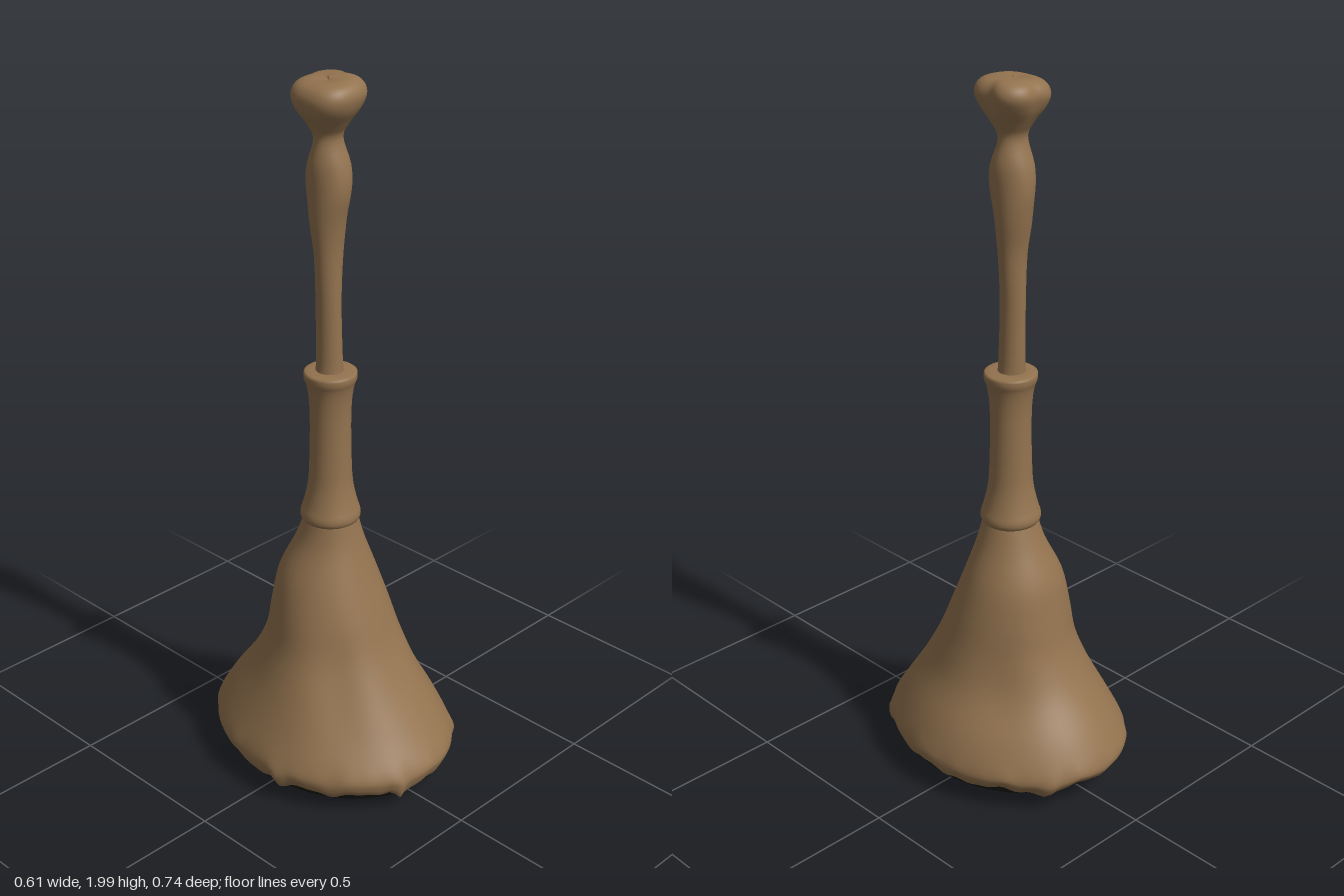
import * as THREE from 'three';

// Catmull-Rom step between rows b and c, applied to every number in a row
function blend(a, b, c, d, t) {
  return b.map((v, i) => v + 0.5 * t * (c[i] - a[i]
    + t * (2 * a[i] - 5 * v + 4 * c[i] - d[i] + t * (3 * (v - c[i]) + d[i] - a[i]))));
}

function refine(rows, steps) {
  const out = [];
  for (let i = 0; i < rows.length - 1; i++) {
    const a = rows[Math.max(i - 1, 0)], d = rows[Math.min(i + 2, rows.length - 1)];
    for (let s = 0; s < steps; s++) out.push(blend(a, rows[i], rows[i + 1], d, s / steps));
  }
  out.push(rows[rows.length - 1]);
  return out;
}

// Loft through elliptical rows [y, xMin, xMax, zMin, zMax], from bottom to top.
// shape(angle, y) returns [radius factor, height offset].
function loft(name, rows, material, { steps = 4, segments = 64, shape = () => [1, 0] } = {}) {
  const rings = refine(rows, steps), pos = [], index = [];
  for (const [y, x0, x1, z0, z1] of rings) {
    for (let j = 0; j < segments; j++) {
      const a = (j / segments) * Math.PI * 2;
      const [k, dy] = shape(a, y);
      pos.push((x0 + x1) / 2 + Math.cos(a) * k * (x1 - x0) / 2, y + dy,
        (z0 + z1) / 2 + Math.sin(a) * k * (z1 - z0) / 2);
    }
  }
  for (let i = 0; i < rings.length - 1; i++) {
    for (let j = 0; j < segments; j++) {
      const n = (j + 1) % segments;
      const a = i * segments + j, b = i * segments + n, c = a + segments, d = b + segments;
      index.push(a, c, b, b, c, d);
    }
  }
  const geometry = new THREE.BufferGeometry();
  geometry.setAttribute('position', new THREE.Float32BufferAttribute(pos, 3));
  geometry.setIndex(index);
  geometry.computeVertexNormals();
  const mesh = new THREE.Mesh(geometry, material);
  mesh.name = name;
  return mesh;
}

// Soft bump around one direction
function bump(a, centre, width) {
  const d = Math.atan2(Math.sin(a - centre), Math.cos(a - centre));
  return Math.exp(-((d / width) ** 2));
}

export function createModel() {
  const model = new THREE.Group();
  const leather = new THREE.MeshStandardMaterial({ color: 0x93734f, side: THREE.DoubleSide });
  leather.name = 'tan brown';
  const dark = new THREE.MeshStandardMaterial({ color: 0x1b1d15, side: THREE.DoubleSide });
  dark.name = 'dark underside';

  // Flared skirt with hollows in its sides and a ragged hem
  const skirtShape = (a, y) => {
    const hem = THREE.MathUtils.smoothstep(0.16 - y, 0, 0.1);
    const mid = Math.exp(-(((y - 0.32) / 0.16) ** 2));
    const rag = Math.sin(a * 9 + 1) * 0.4 + Math.sin(a * 17) * 0.35 + Math.sin(a * 29 + 2) * 0.25;
    const lugs = bump(a, 2.95, 0.06) + bump(a, 0.8, 0.06) + bump(a, -1.05, 0.08) + bump(a, 1.87, 0.05);
    const folds = -0.08 * bump(a, 2.35, 0.35) - 0.05 * bump(a, -0.6, 0.4)
      + 0.04 * bump(a, 1.0, 0.3) + 0.02 * Math.sin(a * 3);
    return [1 + mid * folds + hem * (0.012 * rag + 0.035 * lugs), hem * (0.012 * rag - 0.012 * lugs)];
  };
  model.add(loft('skirt', [
    [0.064, -0.285, 0.285, -0.335, 0.355],
    [0.085, -0.297, 0.300, -0.358, 0.366],
    [0.12, -0.296, 0.303, -0.37, 0.368],
    [0.2, -0.262, 0.272, -0.322, 0.312],
    [0.3, -0.22, 0.22, -0.245, 0.245],
    [0.4, -0.182, 0.19, -0.198, 0.19],
    [0.5, -0.16, 0.168, -0.178, 0.152],
    [0.6, -0.132, 0.14, -0.158, 0.114],
    [0.7, -0.086, 0.1, -0.112, 0.08],
    [0.78, -0.066, 0.076, -0.082, 0.062],
  ], leather, { segments: 128, shape: skirtShape }));

  // Shallow bowl closing the bottom
  model.add(loft('underside', [
    [0.005, -0.001, 0.001, -0.001, 0.001],
    [0.006, -0.1, 0.1, -0.14, 0.14],
    [0.02, -0.2, 0.2, -0.25, 0.25],
    [0.043, -0.268, 0.268, -0.31, 0.335],
    [0.095, -0.288, 0.29, -0.345, 0.357],
  ], dark));

  // Sleeve with a rim at each end, rows given as [y, radius]
  const sleeve = [[0.755, 0.066], [0.763, 0.078], [0.775, 0.083], [0.79, 0.081], [0.805, 0.076],
    [0.85, 0.065], [0.9, 0.059], [1.0, 0.056], [1.08, 0.056], [1.13, 0.059], [1.165, 0.065],
    [1.18, 0.071], [1.195, 0.072], [1.203, 0.067], [1.205, 0.035]];
  model.add(loft('sleeve', sleeve.map(([y, r]) =>
    [y, 0.006 - r, 0.006 + r, -0.013 - r, -0.013 + r]), leather, { steps: 2, segments: 48 }));

  // Bone-like handle ending in a lobed knob
  const knobShape = (a, y) => {
    const top = THREE.MathUtils.smoothstep(y, 1.87, 1.95);
    const swell = Math.exp(-(((y - 1.72) / 0.09) ** 2));
    const notch = bump(a, 0.05, 0.3) * 0.13 + bump(a, -1.57, 0.25) * 0.06;
    const lobes = 0.035 * Math.cos(4 * (a - 0.75));
    return [1 + top * (lobes - notch) + swell * 0.09 * Math.sin(2 * a + y * 14),
      top * 0.004 * Math.cos(a)];
  };
  model.add(loft('handle', [
    [1.18, -0.036, 0.043, -0.052, 0.026],
    [1.24, -0.03, 0.038, -0.052, 0.022],
    [1.4, -0.03, 0.036, -0.052, 0.018],
    [1.53, -0.036, 0.045, -0.054, 0.018],
    [1.62, -0.046, 0.056, -0.068, 0.026],
    [1.7, -0.05, 0.062, -0.074, 0.037],
    [1.77, -0.048, 0.06, -0.07, 0.034],
    [1.84, -0.038, 0.045, -0.05, 0.015],
    [1.88, -0.055, 0.06, -0.068, 0.035],
    [1.92, -0.08, 0.084, -0.096, 0.065],
    [1.955, -0.087, 0.096, -0.11, 0.076],
    [1.982, -0.074, 0.085, -0.098, 0.064],
    [1.994, -0.045, 0.056, -0.066, 0.034],
    [1.992, -0.001, 0.006, -0.018, -0.014],
    [1.992, 0.0025, 0.0025, -0.016, -0.016],
  ], leather, { shape: knobShape }));

  return model;
}
